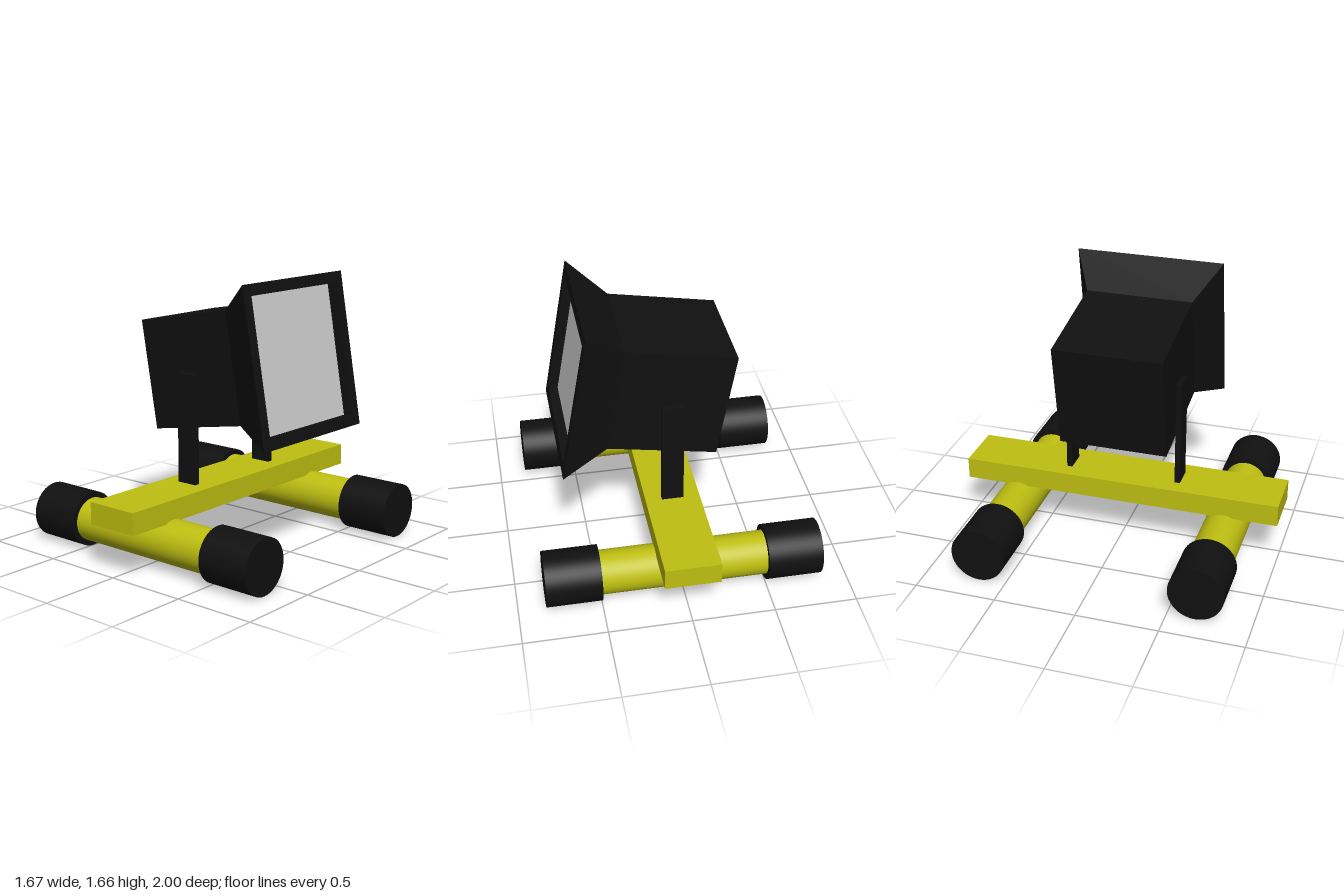
import * as THREE from 'three';

const yellow = new THREE.MeshStandardMaterial({ color: 0xbfbf12 });
const black = new THREE.MeshStandardMaterial({ color: 0x101010 });
const blackFlat = new THREE.MeshStandardMaterial({ color: 0x101010, flatShading: true });
const grey = new THREE.MeshStandardMaterial({ color: 0xcccccc });

function add(parent, name, geometry, material, x = 0, y = 0, z = 0) {
  const mesh = new THREE.Mesh(geometry, material);
  mesh.name = name;
  mesh.position.set(x, y, z);
  parent.add(mesh);
  return mesh;
}

// Cylinder lying along x
const rod = (radius, length) =>
  new THREE.CylinderGeometry(radius, radius, length, 48).rotateZ(Math.PI / 2);

// Square sections [x, half width] joined along x
function squareLoft(sections) {
  const points = sections.map(([x, h]) => new THREE.Vector2(h * Math.SQRT2, x));
  return new THREE.LatheGeometry(points, 4, Math.PI / 4)
    .rotateZ(-Math.PI / 2)
    .toNonIndexed();
}

export function createModel() {
  const model = new THREE.Group();
  model.name = 'floodlight';

  // Stand: bar across two feet
  add(model, 'baseBar', new THREE.BoxGeometry(0.333, 0.133, 2), yellow, 0, 0.35, 0);

  for (const side of [1, -1]) {
    const end = side > 0 ? 'front' : 'back';
    add(model, end + 'FootTube', rod(0.133, 1.1), yellow, 0, 0.167, side * 0.667);
    for (const s of [1, -1]) {
      add(model, end + (s > 0 ? 'Left' : 'Right') + 'FootCap', rod(0.167, 0.333), black,
        s * 0.667, 0.167, side * 0.667);
    }
    // Upright bracket beside the lamp housing
    add(model, end + 'Bracket', new THREE.BoxGeometry(0.133, 0.667, 0.034), black,
      0, 0.75, side * 0.35);
  }

  // Tilted lamp head: box, flared hood, rim and recess
  const head = new THREE.Group();
  head.name = 'lampHead';
  head.position.y = 1.092;
  head.rotation.z = THREE.MathUtils.degToRad(10);
  model.add(head);

  add(head, 'housing', squareLoft([
    [-0.333, 0], [-0.333, 0.333], [0.333, 0.333],
    [0.595, 0.467], [0.595, 0.4], [0.53, 0.4],
  ]), blackFlat);
  add(head, 'glass', new THREE.PlaneGeometry(0.8, 0.8).rotateY(Math.PI / 2), grey, 0.535, 0, 0);

  return model;
}
